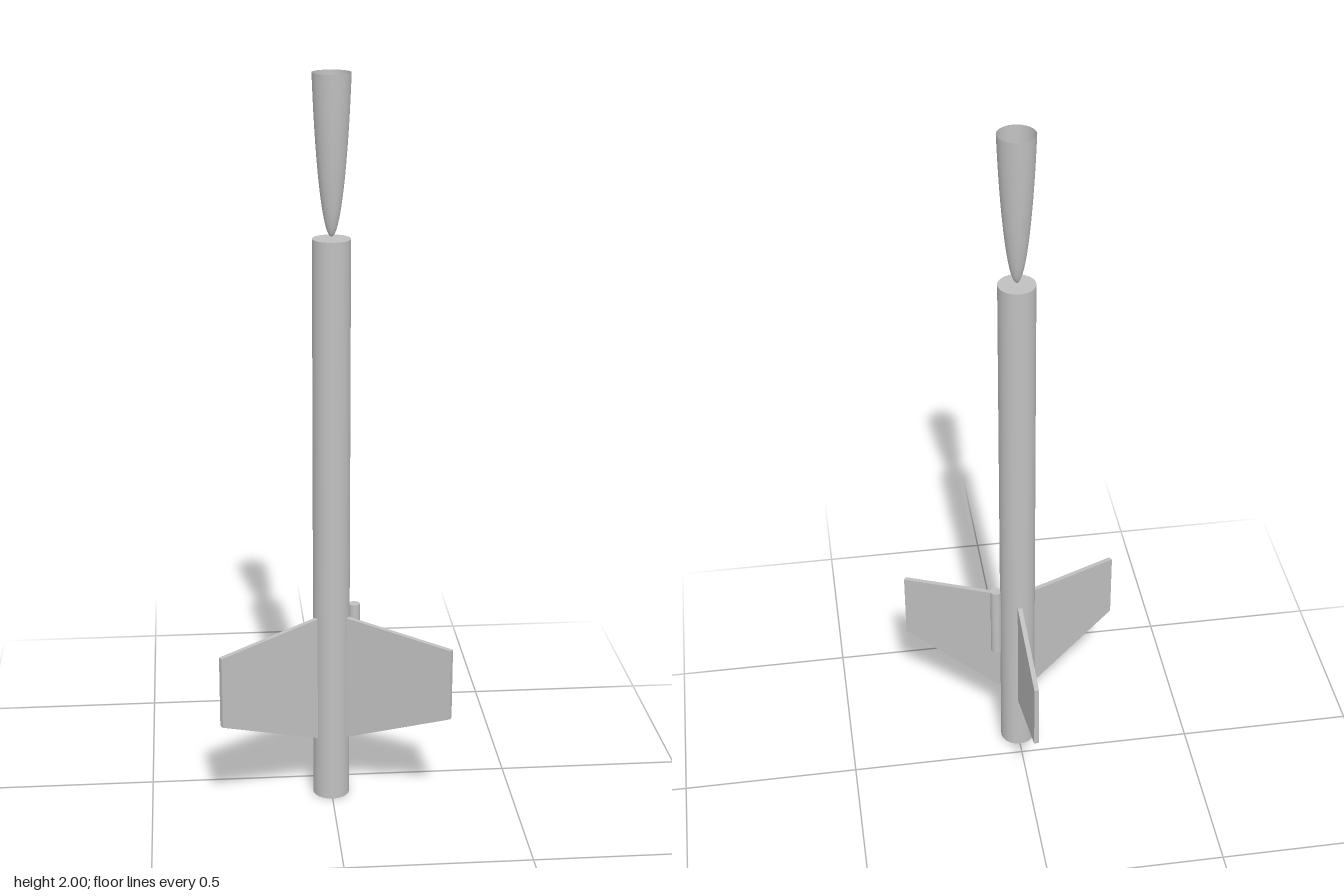
import * as THREE from 'three';

const AXIS_Z = 0.085; // body axis offset that centres the three-fin footprint
const BODY_R = 0.05;
const BODY_TOP = 1.58;
const NOSE_TIP = 1.585;
const FIN_T = 0.013;

export function createModel() {
  const model = new THREE.Group();
  model.name = 'rocket';
  const grey = new THREE.MeshStandardMaterial({ color: 0xc0c0c0 });
  grey.name = 'light grey';
  const shellGrey = grey.clone(); // same colour for the open nose shell
  shellGrey.side = THREE.DoubleSide;

  const add = (name, geometry, material = grey) => {
    const mesh = new THREE.Mesh(geometry, material);
    mesh.name = name;
    mesh.position.z = AXIS_Z;
    model.add(mesh);
    return mesh;
  };

  // Body tube, closed at both ends
  add('bodyTube', new THREE.CylinderGeometry(BODY_R, BODY_R, BODY_TOP, 48)).position.y = BODY_TOP / 2;

  // Nose cone: hollow rounded shell, tip down and open at the top
  const profile = [];
  for (let i = 0; i <= 24; i++) {
    const t = (i / 24) ** 2; // denser rings near the tip
    profile.push(new THREE.Vector2(BODY_R * Math.sqrt(t * (1.4 - 0.4 * t)), NOSE_TIP + t * (2 - NOSE_TIP)));
  }
  add('noseCone', new THREE.LatheGeometry(profile, 48), shellGrey);

  // Three swept fins, 120 degrees apart, the first pointing straight back
  const outline = new THREE.Shape([
    new THREE.Vector2(0.046, 0.178),
    new THREE.Vector2(0.355, 0.3),
    new THREE.Vector2(0.355, 0.5),
    new THREE.Vector2(0.046, 0.538),
  ]);
  const finGeometry = new THREE.ExtrudeGeometry(outline, { depth: FIN_T, bevelEnabled: false });
  finGeometry.translate(0, 0, -FIN_T / 2);
  ['backFin', 'leftFin', 'rightFin'].forEach((name, i) => {
    add(name, finGeometry).rotation.y = Math.PI / 2 + (i * 2 * Math.PI) / 3 * (i === 0 ? 0 : -1);
  });

  // Launch lug on the left side of the body
  const lug = add('launchLug', new THREE.CylinderGeometry(0.0155, 0.0155, 0.223, 24));
  lug.position.x = 0.0625;
  lug.position.y = 0.4565;

  return model;
}
